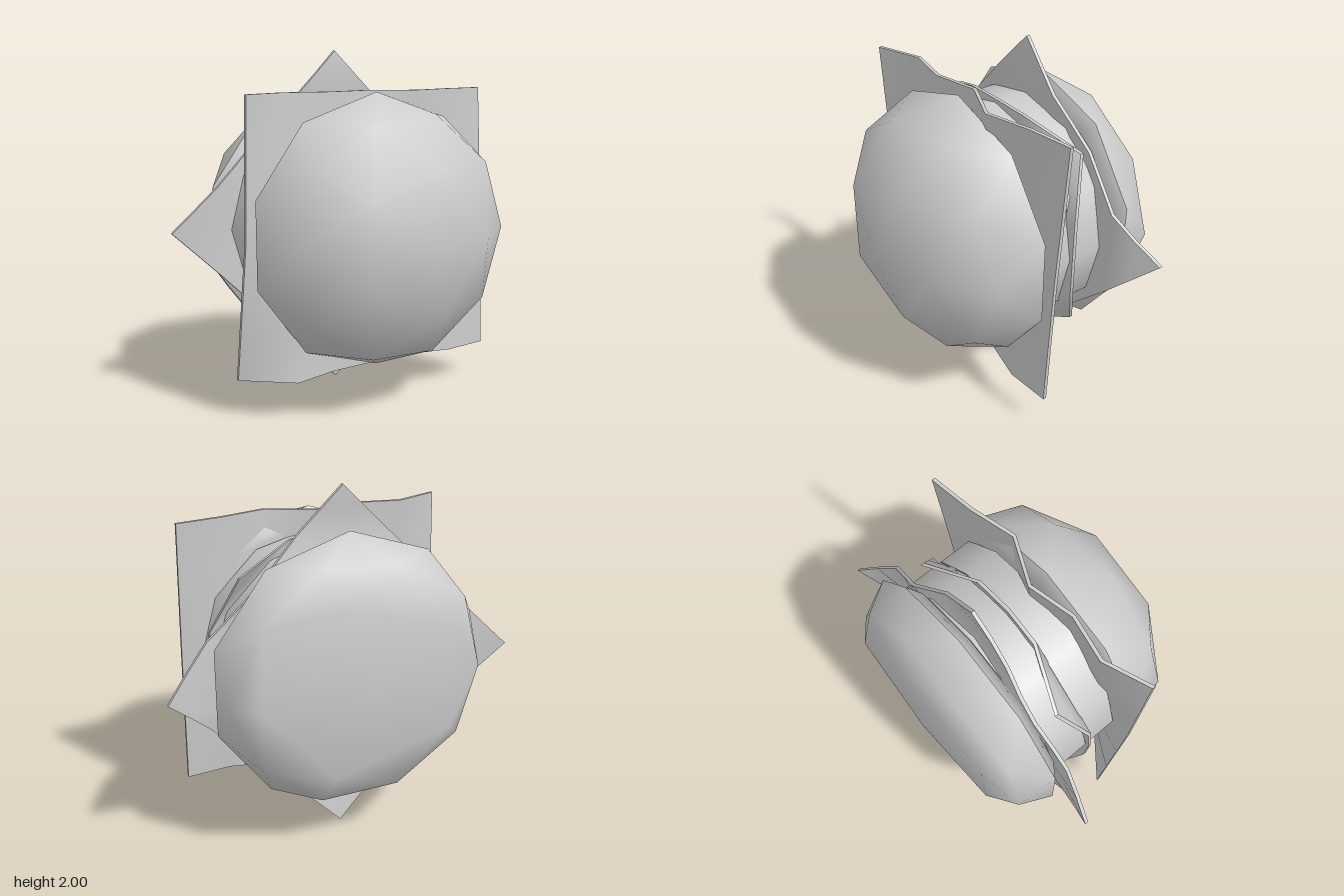
import * as THREE from 'three';

const material = new THREE.MeshStandardMaterial({ color: 0xcccccc });

function addMesh(group, name, geometry) {
  const mesh = new THREE.Mesh(geometry, material);
  mesh.name = name;
  group.add(mesh);
  return mesh;
}

// Linear interpolation through evenly spaced values, t in 0..1
function sample(values, t) {
  const f = THREE.MathUtils.clamp(t, 0, 1) * (values.length - 1);
  const i = Math.min(Math.floor(f), values.length - 2);
  return THREE.MathUtils.lerp(values[i], values[i + 1], f - i);
}

// Geodesic dome facing +z; every ring is [radiusX, radiusY, z]
function domeGeometry({ apex, cap, corner, mid, rim, under }) {
  const pos = [], index = [];
  const add = ([rx, ry, z], step) => {
    const a = step * Math.PI / 5;
    pos.push(rx * Math.cos(a), ry * Math.sin(a), z);
  };
  add([0, 0, apex], 0);                                            // 0
  for (let k = 0; k < 5; k++) add(cap, 2 * k);                     // 1..5
  for (let j = 0; j < 10; j++) add(j % 2 ? mid : corner, j);       // 6..15
  for (let j = 0; j < 10; j++) add(rim, j + 0.5);                  // 16..25
  for (let j = 0; j < 10; j++) add(rim, j + 0.5);                  // 26..35, split for a crisp rim
  for (let j = 0; j < 10; j++) add(under, j + 0.5);                // 36..45
  add([0, 0, under[2]], 0);                                        // 46
  const C = k => 1 + (k + 5) % 5;
  const M = j => 6 + (j + 10) % 10;
  const E = j => 16 + (j + 10) % 10;
  for (let k = 0; k < 5; k++) {
    index.push(0, C(k), C(k + 1));
    index.push(C(k), M(2 * k), M(2 * k + 1));
    index.push(C(k), M(2 * k - 1), M(2 * k));
    index.push(C(k), M(2 * k + 1), C(k + 1));
  }
  for (let j = 0; j < 10; j++) {
    index.push(M(j), E(j), M(j + 1), M(j), E(j - 1), E(j));
    const r0 = E(j) + 10, r1 = E(j + 1) + 10;
    index.push(r0, r0 + 10, r1, r1, r0 + 10, r1 + 10, r0 + 10, 46, r1 + 10);
  }
  const geometry = new THREE.BufferGeometry();
  geometry.setAttribute('position', new THREE.Float32BufferAttribute(pos, 3));
  geometry.setIndex(index);
  geometry.computeVertexNormals();
  return geometry;
}

// Thin square sheet whose points are moved by a rule
function sheetGeometry(size, cells, angle, move) {
  const geometry = new THREE.BoxGeometry(size, size, 0.02, cells, cells, 1);
  geometry.rotateZ(angle);
  const p = geometry.attributes.position;
  const v = new THREE.Vector3();
  for (let i = 0; i < p.count; i++) {
    move(v.fromBufferAttribute(p, i));
    p.setXYZ(i, v.x, v.y, v.z);
  }
  geometry.computeVertexNormals();
  return geometry;
}

export function createModel() {
  const model = new THREE.Group();
  model.name = 'burger';
  const stack = new THREE.Group();
  stack.name = 'stack';
  stack.position.y = 1;
  model.add(stack);

  // Buns
  addMesh(stack, 'topBun', domeGeometry({
    apex: 0.73, cap: [0.41, 0.41, 0.645], corner: [0.7, 0.7, 0.415],
    mid: [0.665, 0.665, 0.455], rim: [0.78, 0.78, 0.16], under: [0.7, 0.7, 0.11],
  }));
  const bottomBun = addMesh(stack, 'bottomBun', domeGeometry({
    apex: 0.73, cap: [0.6, 0.5, 0.685], corner: [0.73, 0.69, 0.58],
    mid: [0.69, 0.67, 0.605], rim: [0.78, 0.78, 0.4], under: [0.69, 0.69, 0.34],
  }));
  bottomBun.rotation.x = Math.PI;

  // Patties
  for (const [name, z, depth] of [['frontPatty', 0, 0.2], ['backPatty', -0.22, 0.23]]) {
    const geometry = new THREE.CylinderGeometry(0.67, 0.67, depth, 12);
    geometry.rotateX(Math.PI / 2);
    addMesh(stack, name, geometry).position.z = z;
  }

  // Square lettuce leaf under the top bun, rippled along its upper and lower edges
  const topEdge = [0.16, 0.06, 0.11, 0.05, 0.17, 0.1, 0.06];
  const lowEdge = [-0.03, 0.18, 0.12, 0.11, 0.11, 0.17, 0.15];
  addMesh(stack, 'frontLettuce', sheetGeometry(1.57, 6, 0, v => {
    const edge = sample(v.y > 0 ? topEdge : lowEdge, v.x / 1.57 + 0.5);
    v.z += THREE.MathUtils.lerp(0.115, edge, Math.abs(v.y) / 0.785);
  }));

  // Cheese slice between the patties, corners drooping to the back
  addMesh(stack, 'cheese', sheetGeometry(1.38, 6, 0, v => {
    const fold = Math.max(0, Math.abs(v.x) + Math.abs(v.y) - 0.88) * 0.29;
    v.x -= Math.sign(v.x) * fold;
    v.y -= Math.sign(v.y) * fold;
    v.z -= 0.09 + fold;
  }));

  // Diamond lettuce leaf above the bottom bun
  const alongX = [-0.39, -0.33, -0.33, -0.37, -0.31, -0.29, -0.33, -0.29, -0.43];
  const alongY = [-0.31, -0.27, -0.33, -0.29, -0.31, -0.3, -0.34, -0.28, -0.3];
  addMesh(stack, 'backLettuce', sheetGeometry(Math.SQRT2, 8, Math.PI / 4, v => {
    const ax = Math.abs(v.x), ay = Math.abs(v.y);
    const w = ax + ay > 1e-6 ? ax / (ax + ay) : 0.5;
    v.z += THREE.MathUtils.lerp(sample(alongY, v.y / 2 + 0.5), sample(alongX, v.x / 2 + 0.5), w);
  }));

  return model;
}
